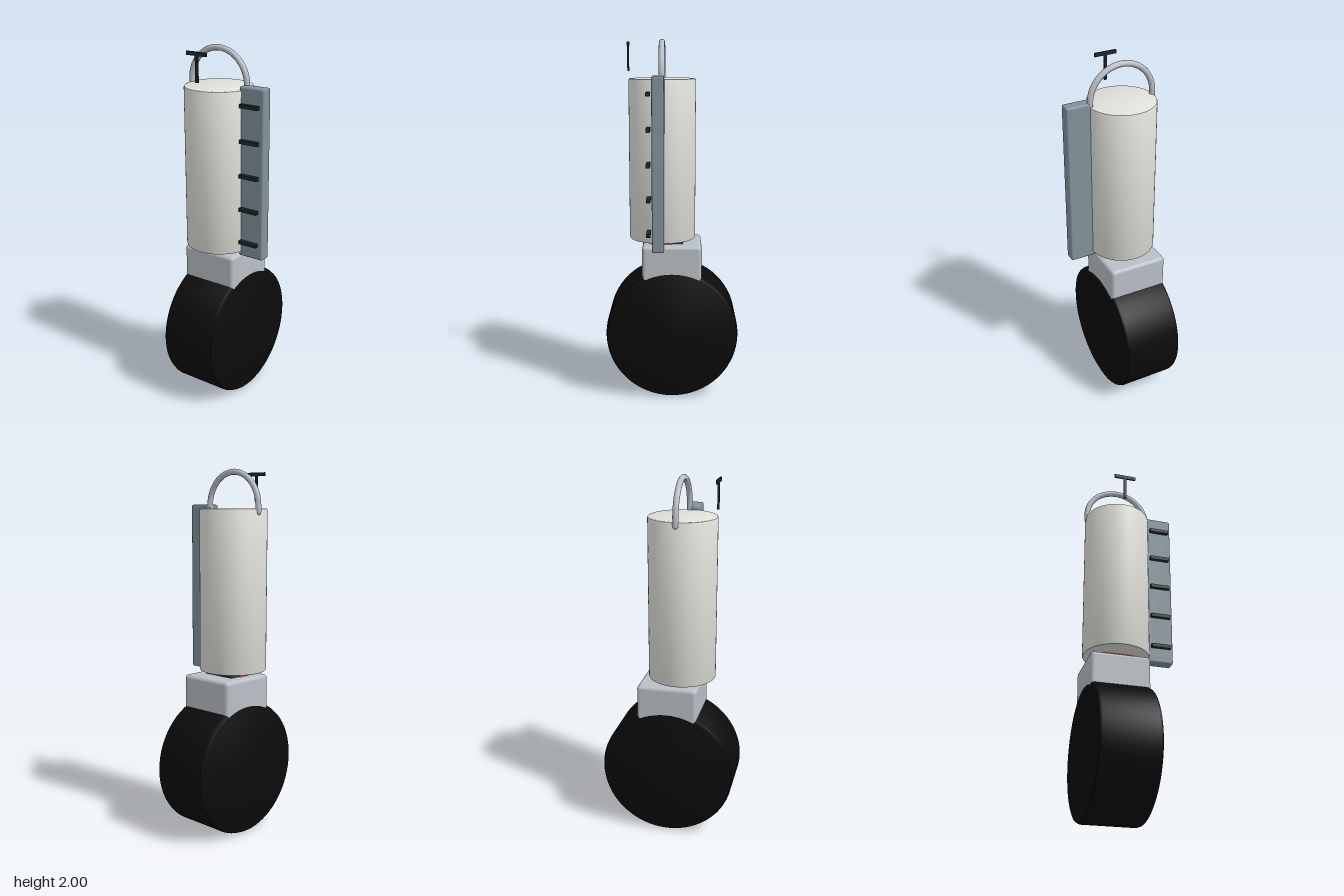
import * as THREE from 'three';
import { toCreasedNormals } from 'three/addons/utils/BufferGeometryUtils.js';
import { RoundedBoxGeometry } from 'three/addons/geometries/RoundedBoxGeometry.js';

const CX = -0.06; // x of the main column
const TANK_Z = 0.055;

const paint = (color) => new THREE.MeshStandardMaterial({ color });
const rubber = paint(0x0b0b0b);
const steel = paint(0xb9c0c6);
const ivory = paint(0xe0e1da);
const slate = paint(0x82929b);
const dark = paint(0x1d282d);
const red = paint(0xe8392b);

export function createModel() {
  const model = new THREE.Group();

  const add = (name, geometry, material, x, y, z) => {
    const mesh = new THREE.Mesh(geometry, material);
    mesh.name = name;
    mesh.position.set(x, y, z);
    model.add(mesh);
    return mesh;
  };

  // Solid drum around y with bevelled rims
  const drum = (r, h, b, segments) => {
    const k = b * 0.3;
    const half = [[r - b, h / 2], [r - k, h / 2 - k], [r, h / 2 - b]];
    const profile = [[0, h / 2], ...half, ...half.map(([a, y]) => [a, -y]).reverse(), [0, -h / 2]]
      .reverse()
      .map(([a, y]) => new THREE.Vector2(a, y));
    return toCreasedNormals(new THREE.LatheGeometry(profile, segments), 0.6);
  };

  // Wheel lying across x
  add('wheel', drum(0.37, 0.333, 0.02, 64), rubber, CX, 0.37, 0).rotation.z = Math.PI / 2;

  // Block straddling the wheel
  add('mountBlock', new RoundedBoxGeometry(0.331, 0.335, 0.331, 3, 0.02), steel, CX, 0.7125, 0);

  // Coupling discs between block and tank
  const disc = (r, depth) => new THREE.CylinderGeometry(r, r, depth, 40);
  add('couplingFront', disc(0.147, 0.115), red, CX, 0.78, 0.0575).rotation.x = Math.PI / 2;
  add('couplingRear', disc(0.14, 0.06), dark, CX, 0.78, -0.03).rotation.x = Math.PI / 2;

  // Tank
  add('tank', drum(0.185, 0.89, 0.008, 56), ivory, CX, 1.345, TANK_Z);

  // Carrying handle arched over the tank
  const arch = [new THREE.Vector3(0.179, -0.035, 0)];
  for (let i = 0; i <= 16; i++) {
    const a = (i / 16) * Math.PI;
    arch.push(new THREE.Vector3(0.179 * Math.cos(a), 0.179 * Math.sin(a), 0));
  }
  arch.push(new THREE.Vector3(-0.179, -0.035, 0));
  add('handle', new THREE.TubeGeometry(new THREE.CatmullRomCurve3(arch), 48, 0.016, 12), steel, CX, 1.805, TANK_Z);
  for (const side of [-1, 1]) {
    add('handleEnd', new THREE.SphereGeometry(0.016, 12, 8), steel, CX + side * 0.179, 1.77, TANK_Z);
  }

  // Side panel with a row of bars in front of it
  add('sidePanel', new RoundedBoxGeometry(0.15, 0.93, 0.065, 2, 0.01), slate, 0.18, 1.345, 0.0725);
  for (let i = 0; i < 5; i++) {
    add('panelBar', new THREE.BoxGeometry(0.11, 0.02, 0.022), dark, 0.18, 0.97 + i * 0.1865, 0.125);
  }

  // T-shaped marker at the front
  add('markerStem', new THREE.BoxGeometry(0.016, 0.15, 0.01), dark, CX, 1.905, 0.24);
  add('markerBar', new THREE.BoxGeometry(0.125, 0.02, 0.01), dark, CX, 1.975, 0.24);

  return model;
}
